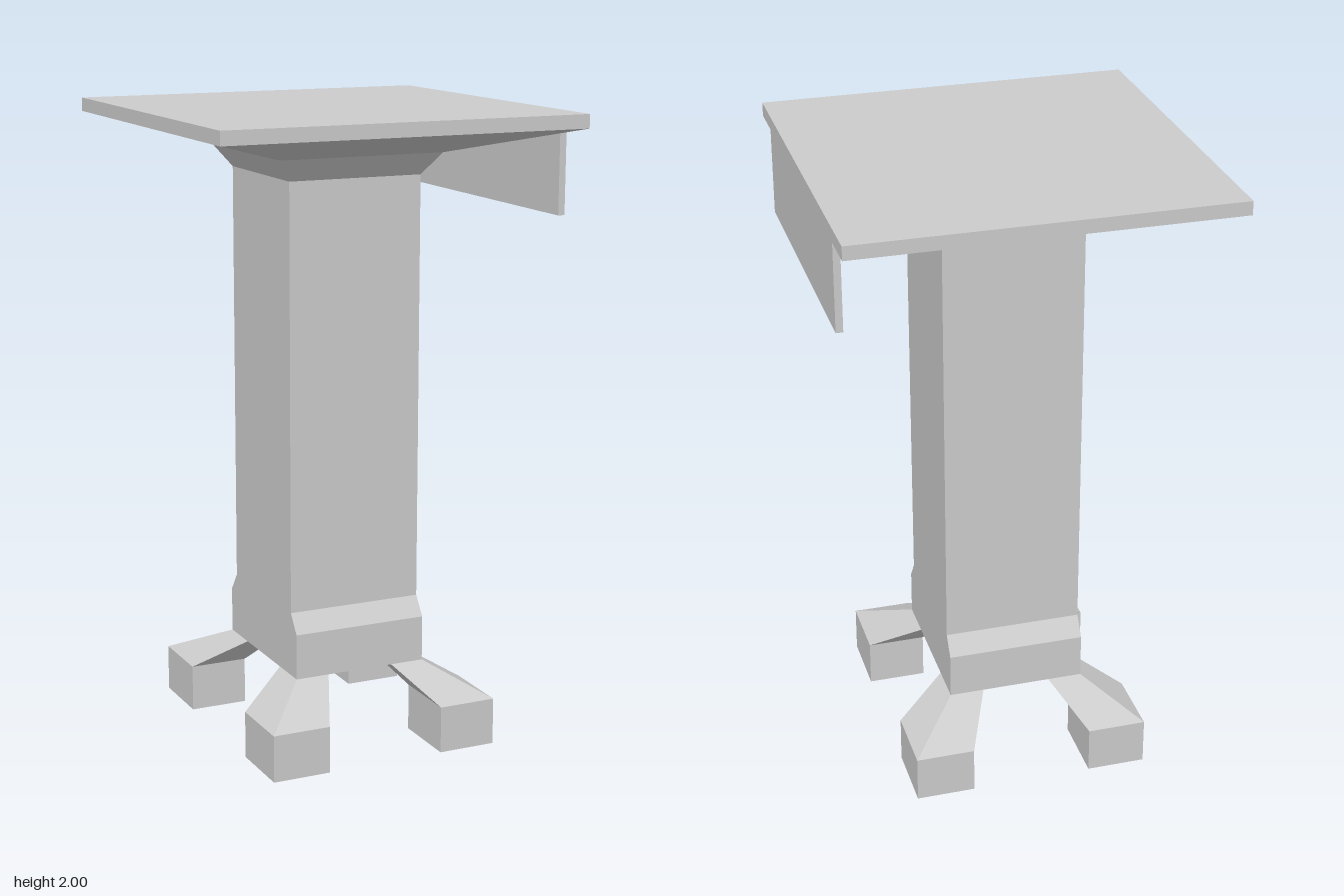
import * as THREE from 'three';

const material = new THREE.MeshStandardMaterial({ color: 0xcccccc, flatShading: true });

// Skin a stack of rectangles [y, x0, x1, z0, z1], bottom to top, and cap both ends
function loftRects(rects) {
  const rings = rects.map(([y, x0, x1, z0, z1]) => [[x0, y, z1], [x1, y, z1], [x1, y, z0], [x0, y, z0]]);
  const pos = [];
  const quad = (a, b, c, d) => pos.push(...a, ...b, ...c, ...a, ...c, ...d);
  for (let i = 0; i < rings.length - 1; i++) {
    const lo = rings[i], hi = rings[i + 1];
    for (let k = 0; k < 4; k++) {
      const n = (k + 1) % 4;
      quad(lo[k], lo[n], hi[n], hi[k]);
    }
  }
  const [a, b, c, d] = rings[0];
  quad(d, c, b, a);
  quad(...rings[rings.length - 1]);
  const geo = new THREE.BufferGeometry();
  geo.setAttribute('position', new THREE.Float32BufferAttribute(pos, 3));
  geo.computeVertexNormals();
  return geo;
}

// Rectangle centred on the axis, given by half sizes
const centred = (y, hx, hz) => [y, -hx, hx, -hz, hz];

export function createModel() {
  const model = new THREE.Group();
  model.name = 'pedestalTable';

  const add = (parent, name, geometry, x = 0, y = 0, z = 0) => {
    const mesh = new THREE.Mesh(geometry, material);
    mesh.name = name;
    mesh.position.set(x, y, z);
    parent.add(mesh);
  };
  const box = (w, h, d) => new THREE.BoxGeometry(w, h, d);

  // Column: base widened front and back only, capital flaring out to the top
  add(model, 'column', loftRects([
    centred(0.245, 0.22, 0.263),
    centred(0.39, 0.22, 0.263),
    centred(0.45, 0.22, 0.22),
    centred(1.80, 0.22, 0.22),
    centred(1.87, 0.27, 0.27),
    centred(1.957, 0.59, 0.59),
  ]));

  // Square top and the thin panel hanging under its left edge
  add(model, 'tableTop', box(1.18, 0.043, 1.18), 0, 1.9785, 0);
  add(model, 'sidePanel', box(0.022, 0.275, 0.92), 0.579, 1.8205, 0);

  // Four splayed legs, each ending in a block foot
  for (const sx of [1, -1]) for (const sz of [1, -1]) {
    const leg = new THREE.Group();
    leg.name = `${sz > 0 ? 'front' : 'back'}${sx > 0 ? 'Left' : 'Right'}Leg`;
    const span = (s, a, b) => (s > 0 ? [a, b] : [-b, -a]);
    add(leg, 'strut', loftRects([
      [0.15, ...span(sx, 0.193, 0.38), ...span(sz, 0.225, 0.45)],
      [0.245, ...span(sx, 0.11, 0.22), ...span(sz, 0.132, 0.263)],
    ]));
    add(leg, 'foot', box(0.187, 0.15, 0.225), sx * 0.2865, 0.075, sz * 0.3375);
    model.add(leg);
  }

  return model;
}
